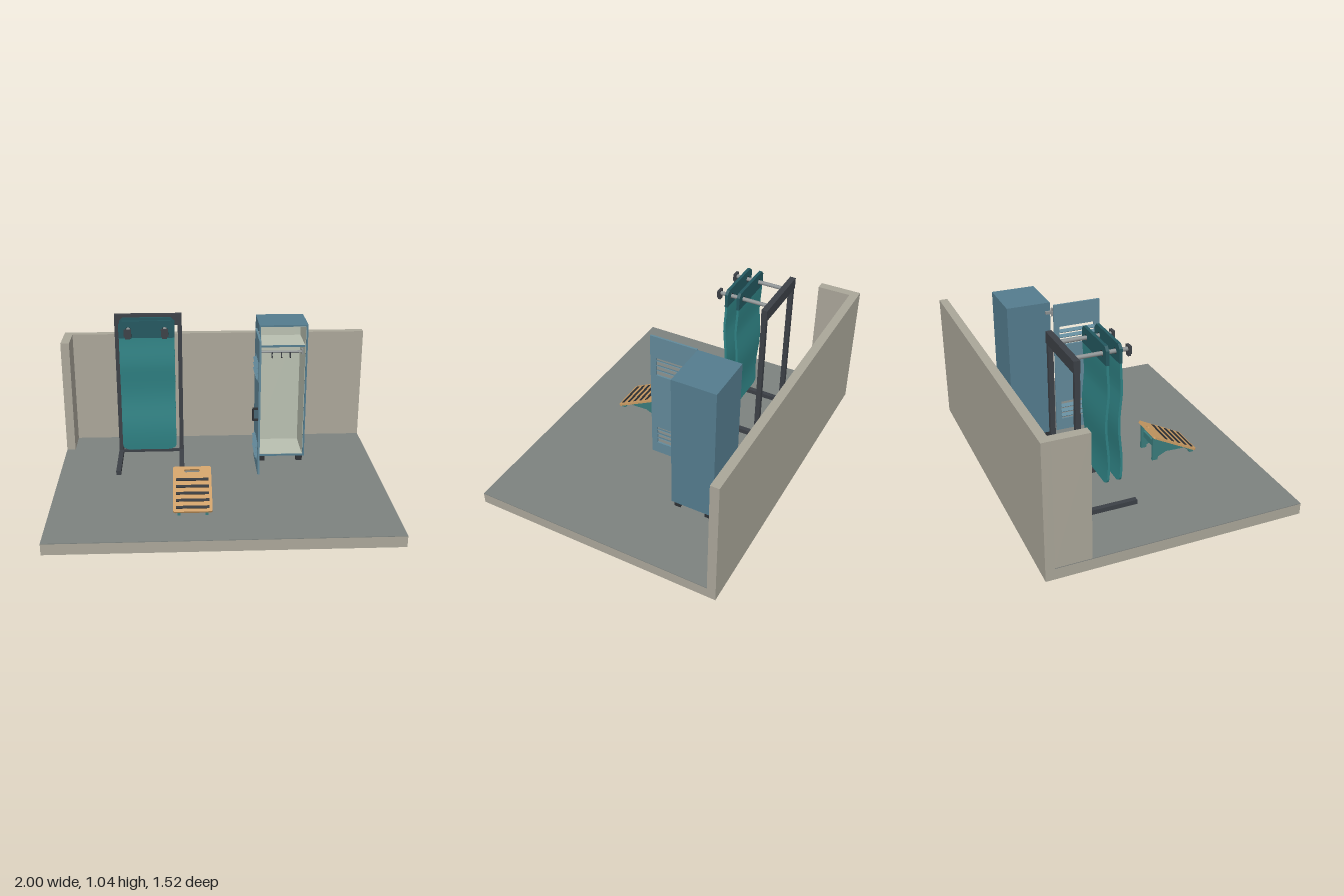
import * as THREE from 'three';

const paint = (color) => new THREE.MeshStandardMaterial({ color });
const M = {
  floor: paint(0x7d827f), wall: paint(0xaaa699), steel: paint(0x547c8e), door: paint(0x62899a),
  lining: paint(0xb9bfb0), dark: paint(0x3c4046), metal: paint(0x8c9192), mat: paint(0x2f8284),
  band: paint(0x23575f), wood: paint(0xcb9c64), teal: paint(0x3a7c7c), rubber: paint(0x2d3034),
};

function add(parent, name, geo, mat, x = 0, y = 0, z = 0) {
  const mesh = new THREE.Mesh(geo, mat);
  mesh.name = name;
  mesh.position.set(x, y, z);
  parent.add(mesh);
  return mesh;
}

// Box given by its minimum and maximum on each axis
function block(parent, name, mat, x0, x1, y0, y1, z0, z1) {
  return add(parent, name, new THREE.BoxGeometry(x1 - x0, y1 - y0, z1 - z0), mat,
    (x0 + x1) / 2, (y0 + y1) / 2, (z0 + z1) / 2);
}

function group(parent, name) {
  const g = new THREE.Group();
  g.name = name;
  parent.add(g);
  return g;
}

const poly = (pts, Type = THREE.Shape) => new Type(pts.map(([a, b]) => new THREE.Vector2(a, b)));
const rect = (a0, a1, b0, b1) => [[a0, b0], [a1, b0], [a1, b1], [a0, b1]];

// Extrude a shape, centred on its thickness
function plate(shape, depth) {
  return new THREE.ExtrudeGeometry(shape, { depth, bevelEnabled: false, curveSegments: 10 }).translate(0, 0, -depth / 2);
}
// The same for a profile drawn in (z, y)
const sidePlate = (shape, depth) => plate(shape, depth).rotateY(-Math.PI / 2);

function rounded(w, h, r, Type = THREE.Shape, cx = 0, cy = 0) {
  const s = new Type(), a = w / 2 - r, b = h / 2 - r;
  s.absarc(cx + a, cy + b, r, 0, Math.PI / 2);
  s.absarc(cx - a, cy + b, r, Math.PI / 2, Math.PI);
  s.absarc(cx - a, cy - b, r, Math.PI, Math.PI * 1.5);
  s.absarc(cx + a, cy - b, r, Math.PI * 1.5, Math.PI * 2);
  s.closePath();
  return s;
}

function buildRoom(root) {
  const room = group(root, 'room');
  block(room, 'floor', M.floor, -1, 1, 0.066, 0.07, -0.71, 0.762);
  block(room, 'floorSlab', M.wall, -1, 1, 0, 0.066, -0.71, 0.762);
  block(room, 'backWall', M.wall, -1, 1, 0, 0.812, -0.762, -0.71);
  block(room, 'returnWall', M.wall, -1, -0.945, 0.07, 0.812, -0.71, -0.505);
}

// One hanging mat: gently waving sheet, reinforced top band with eyelets
function buildMat(parent, z0) {
  const g = group(parent, 'hangingMat');
  g.position.set(-0.432, 0, z0);
  const w = 0.335, bottom = 0.21, top = 0.965, r = 0.035;
  const geo = new THREE.BoxGeometry(w, top - bottom, 0.014, 1, 60, 1).translate(0, (top + bottom) / 2, 0);
  const p = geo.attributes.position;
  for (let i = 0; i < p.count; i++) {
    const d = p.getY(i) - bottom;
    if (d < r) p.setX(i, p.getX(i) - Math.sign(p.getX(i)) * (r - Math.sqrt(Math.max(0, r * r - (r - d) ** 2))));
    const t = Math.max(0, 0.94 - p.getY(i)) / 0.73;
    p.setZ(i, p.getZ(i) + 0.008 * Math.sin(t * Math.PI * 3) * Math.min(1, t * 4));
  }
  geo.computeVertexNormals();
  add(g, 'matSheet', geo, M.mat);
  const a = w / 2 + 0.001, c = 0.022;
  const band = poly([[-a, 0.94], [a, 0.94], [a, 1.045 - c], [a - c, 1.045], [c - a, 1.045], [-a, 1.045 - c]]);
  for (const x of [-0.11, 0.11]) {
    const hole = new THREE.Path();
    hole.absarc(x, 0.99, 0.018, 0, Math.PI * 2, true);
    band.holes.push(hole);
    add(g, 'eyelet', new THREE.TorusGeometry(0.02, 0.005, 6, 20), M.rubber, x, 0.99, 0).scale.z = 2;
  }
  add(g, 'topBand', plate(band, 0.018), M.band);
}

function buildRack(root) {
  const rack = group(root, 'matRack');
  for (const x of [-0.63, -0.232]) {
    block(rack, 'post', M.dark, x - 0.013, x + 0.013, 0.09, 1.02, -0.45, -0.42);
    block(rack, 'baseFoot', M.dark, x - 0.015, x + 0.015, 0.07, 0.098, -0.487, -0.088);
  }
  block(rack, 'topBeam', M.dark, -0.643, -0.219, 0.95, 1.02, -0.454, -0.418);
  block(rack, 'lowerBar', M.dark, -0.63, -0.232, 0.08, 0.096, -0.445, -0.425);
  for (const x of [-0.542, -0.322]) {
    add(rack, 'arm', new THREE.CylinderGeometry(0.012, 0.012, 0.32, 16).rotateX(Math.PI / 2), M.metal, x, 0.99, -0.265);
    block(rack, 'armCap', M.dark, x - 0.022, x + 0.022, 0.965, 1.01, -0.113, -0.097);
    block(rack, 'armCapLip', M.dark, x - 0.015, x + 0.015, 0.952, 0.975, -0.115, -0.099);
  }
  for (const z of [-0.25, -0.175]) buildMat(rack, z);
}

function buildLocker(root) {
  const g = group(root, 'locker');
  const x0 = 0.258, x1 = 0.562, y0 = 0.108, y1 = 0.985, z0 = -0.525, z1 = -0.258, t = 0.011, l = 0.003;
  // Outer shell
  block(g, 'leftSide', M.steel, x1 - t, x1, y0, y1, z0, z1);
  block(g, 'rightSide', M.steel, x0, x0 + t, y0, y1, z0, z1);
  block(g, 'lockerTop', M.steel, x0 + t, x1 - t, y1 - t, y1, z0, z1);
  block(g, 'lockerBottom', M.steel, x0 + t, x1 - t, y0, y0 + t, z0, z1);
  block(g, 'lockerBack', M.steel, x0 + t, x1 - t, y0 + t, y1 - t, z0, z0 + t);
  // Pale lining, shelf and coat rail
  const a = x0 + t, b = x1 - t, c = y0 + t, d = y1 - t, e = z0 + t, f = z1 - 0.006;
  block(g, 'backLining', M.lining, a, b, c, d, e, e + l);
  block(g, 'sideLining', M.lining, a, a + l, c, d, e, f);
  block(g, 'sideLining', M.lining, b - l, b, c, d, e, f);
  block(g, 'bottomLining', M.lining, a, b, c, c + l, e, f);
  block(g, 'topLining', M.lining, a, b, d - l, d, e, f);
  block(g, 'shelf', M.lining, a, b, 0.842, 0.85, e, -0.275);
  block(g, 'shelfEdge', M.steel, a, b, 0.84, 0.852, -0.275, -0.27);
  add(g, 'coatRail', new THREE.CylinderGeometry(0.008, 0.008, b - a, 14).rotateZ(Math.PI / 2), M.metal, 0.41, 0.783, -0.36);
  for (const x of [a + 0.006, b - 0.006]) block(g, 'railBracket', M.metal, x - 0.006, x + 0.006, 0.768, 0.8, -0.375, -0.345);
  for (const x of [0.35, 0.41, 0.465]) {
    const hook = new THREE.CatmullRomCurve3([[0.783, -0.352], [0.76, -0.35], [0.75, -0.34], [0.76, -0.328]]
      .map(([y, z]) => new THREE.Vector3(x, y, z)));
    add(g, 'hook', new THREE.TubeGeometry(hook, 12, 0.004, 6), M.dark);
  }
  for (const x of [0.286, 0.531]) for (const z of [-0.29, -0.487])
    block(g, 'lockerFoot', M.rubber, x - 0.02, x + 0.02, 0.07, y0, z - 0.02, z + 0.02);
  buildDoor(g);
}

// Door standing open at a right angle, with two louvred vents
function buildDoor(parent) {
  const g = group(parent, 'lockerDoor');
  const x = 0.238, vents = [0.198, 0.707];
  const panel = poly(rect(-0.245, 0.05, 0.122, 0.972));
  for (const y of vents) panel.holes.push(poly(rect(-0.21, 0.014, y, y + 0.122), THREE.Path));
  add(g, 'doorPanel', sidePlate(panel, 0.012), M.door, x);
  for (const y of vents) for (let i = 0; i < 3; i++) {
    const slat = add(g, 'louvre', new THREE.BoxGeometry(0.026, 0.004, 0.228), M.door, x - 0.008, y + 0.028 + i * 0.033, -0.098);
    slat.rotation.z = 0.5;
  }
  // Pull handle on the outer face
  block(g, 'handleGrip', M.rubber, 0.198, 0.208, 0.468, 0.55, 0.012, 0.03);
  for (const y of [0.468, 0.54]) block(g, 'handleEnd', M.rubber, 0.2, 0.233, y, y + 0.01, 0.012, 0.03);
  // Hinges
  for (const y of [0.162, 0.925]) {
    block(g, 'hingeLeaf', M.metal, 0.24, 0.259, y - 0.008, y + 0.008, -0.29, -0.225);
    add(g, 'hingePin', new THREE.CylinderGeometry(0.007, 0.007, 0.05, 12), M.metal, 0.25, y, -0.25);
  }
}

function buildRamp(root) {
  const g = group(root, 'inclineBoard');
  g.position.x = -0.172;
  // Arched side supports
  const side = poly([[0.192, 0.07], [0.226, 0.07], [0.23, 0.09], [0.285, 0.116], [0.345, 0.113], [0.405, 0.112],
    [0.44, 0.085], [0.445, 0.07], [0.472, 0.07], [0.472, 0.09], [0.192, 0.234]]);
  for (const x of [-0.08, 0.08]) add(g, 'sideSupport', sidePlate(side, 0.016), M.teal, x);
  // Tilted deck with a grip slot; local y runs up the slope
  const deck = group(g, 'deck');
  deck.position.set(0, 0.168, 0.333);
  deck.rotation.x = -Math.PI / 2 + Math.atan2(0.149, 0.288);
  const board = rounded(0.226, 0.326, 0.012);
  board.holes.push(rounded(0.092, 0.022, 0.0105, THREE.Path, 0, 0.131));
  add(deck, 'woodBoard', plate(board, 0.013), M.wood);
  for (let i = 0; i < 5; i++)
    add(deck, 'gripStrip', new THREE.BoxGeometry(0.192, 0.018, 0.005), M.rubber, 0, 0.065 - i * 0.0495, 0.008);
  block(g, 'crossBrace', M.teal, -0.075, 0.075, 0.15, 0.19, 0.205, 0.217);
}

export function createModel() {
  const root = new THREE.Group();
  root.name = 'lockerRoomCorner';
  buildRoom(root);
  buildRack(root);
  buildLocker(root);
  buildRamp(root);
  return root;
}
